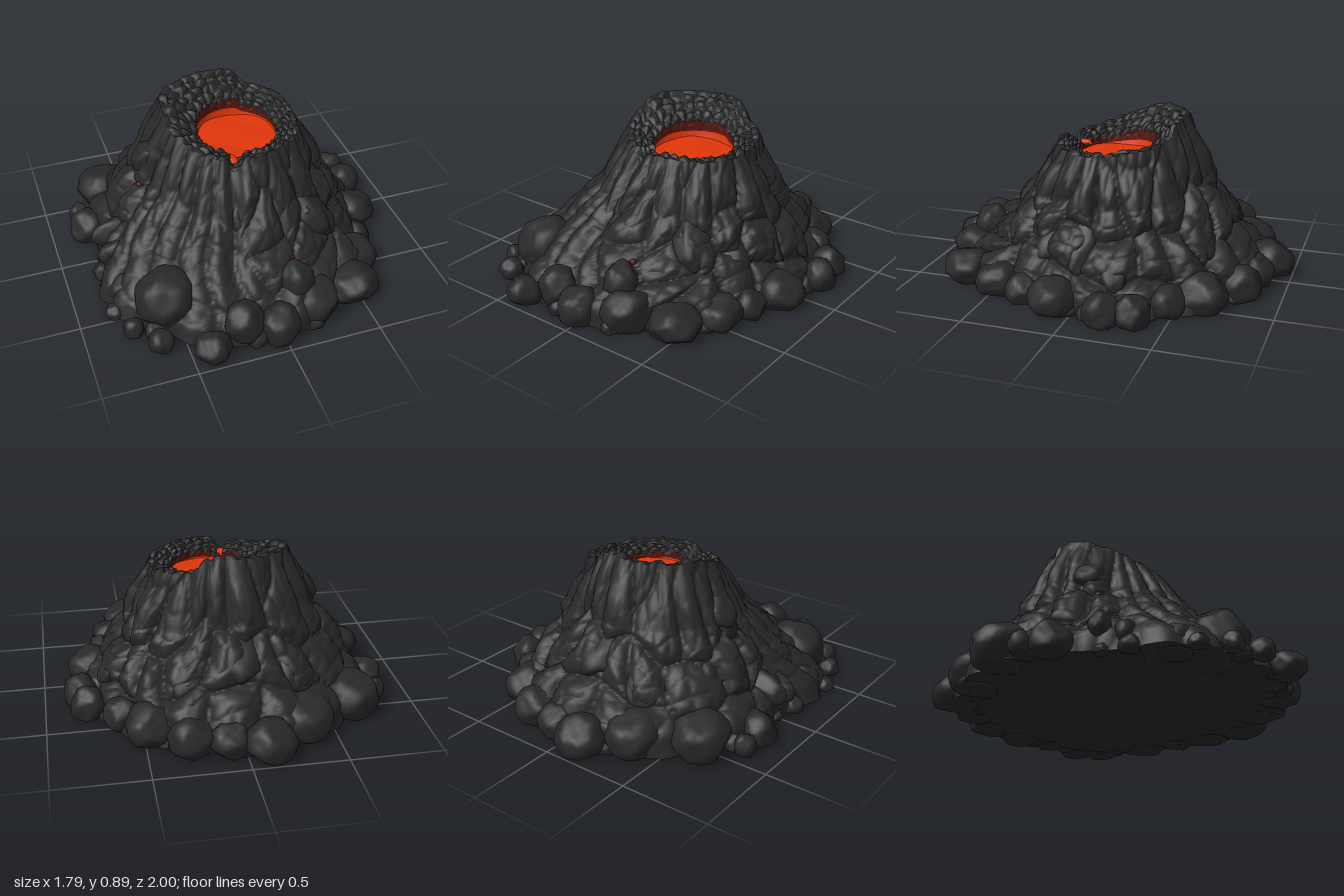
import * as THREE from 'three';
import { mergeVertices } from 'three/addons/utils/BufferGeometryUtils.js';

const TAU = Math.PI * 2, COLS = 300;
const lerp = THREE.MathUtils.lerp, clamp = THREE.MathUtils.clamp, smooth = THREE.MathUtils.smoothstep;
const hash = (a, b) => { const s = Math.sin(a * 127.1 + b * 311.7) * 43758.5453; return s - Math.floor(s); };

// Smooth closed interpolation of knots spread evenly around the circle (+x towards +z)
function around(knots, angle) {
  const n = knots.length, p = (((angle / TAU) % 1 + 1) % 1) * n, i = Math.floor(p), f = p - i;
  return lerp(knots[i % n], knots[(i + 1) % n], f * f * (3 - 2 * f));
}

// Cellular stone pattern, periodic in u: height of a domed stone with cracks between
function stones(u, v, n, seed) {
  let f1 = 9, f2 = 9, id = 0;
  const iu = Math.floor(u), iv = Math.floor(v);
  for (let a = -1; a <= 1; a++) for (let b = -1; b <= 1; b++) {
    const cu = iu + a, cv = iv + b, k = ((cu % n) + n) % n;
    const d = Math.hypot(cu + 0.15 + 0.7 * hash(k + seed, cv) - u, cv + 0.15 + 0.7 * hash(k, cv + seed + 7) - v);
    if (d < f1) { f2 = f1; f1 = d; id = hash(k + 3, cv + seed); } else if (d < f2) f2 = d;
  }
  return Math.sqrt(clamp((f2 - f1) * 1.7, 0, 1)) * (0.65 + 0.35 * id) + 0.3 * id;
}

const BASE = [0.74, 0.73, 0.79, 0.88, 0.91, 0.91, 0.77, 0.83, 0.85, 0.83, 0.82, 0.76];
const RIM = [0.75, 0.74, 0.745, 0.745, 0.75, 0.755, 0.755, 0.75, 0.745, 0.75, 0.77, 0.80,
  0.835, 0.875, 0.885, 0.885, 0.885, 0.89, 0.895, 0.89, 0.805, 0.79, 0.785, 0.765];
const RIM_RADIUS = [0.37, 0.37, 0.36, 0.355, 0.35, 0.36, 0.385, 0.42, 0.39, 0.355, 0.36, 0.375];
const SLOPE = [[0, 1], [0.1, 0.83], [0.23, 0.64], [0.5, 0.43], [0.78, 0.24], [0.95, 0.13], [1, 0.025]];
const CX = 0.03, CZ = -0.04, LAVA_Y = 0.672;

const notch = a => Math.exp(-(((a - 1.87) / 0.12) ** 2));
const rimHeight = a => around(RIM, a) - 0.075 * notch(a);
function slopeAt(t) {
  let i = 0;
  while (i < SLOPE.length - 2 && t > SLOPE[i + 1][0]) i++;
  const [t0, h0] = SLOPE[i], [t1, h1] = SLOPE[i + 1];
  return lerp(h0, h1, clamp((t - t0) / (t1 - t0), 0, 1));
}

// Point on the outer slope: t = 0 at the rim, 1 at the foot
function slopePoint(a, t) {
  const c = Math.cos(a), s = Math.sin(a), base = around(BASE, a), rim = around(RIM_RADIUS, a);
  const warp = a + 0.05 * Math.sin(5 * a + 6 * t);
  const big = stones(warp / TAU * 19, t * 2.8 + 0.3 * Math.sin(3 * a), 19, 11);
  const small = stones(a / TAU * 46, t * 7 + 0.4 * Math.sin(7 * a), 46, 5);
  // flowing strands at the front right shoulder
  const flow = smooth(a, 1.55, 1.95) * (1 - smooth(a, 2.85, 3.2));
  const strand = Math.sqrt(Math.abs(Math.sin(13 * a + 2.5 * t + 0.4 * Math.sin(9 * t))));
  const push = lerp(0.066 * big, 0.038 * strand + 0.02 * big, flow) * smooth(t, -0.1, 0.15) + 0.012 * small - 0.03;
  const h = rimHeight(a) * slopeAt(t);
  const up = push * 0.5 * smooth(t, 0.1, 0.4) * (1 - smooth(t, 0.9, 1));
  return [lerp(CX + rim * c, base * c, t) + push * c, h + up, lerp(CZ + rim * s, base * s, t) + push * s];
}

// Point inside the crater: k = 0 at the rim, 1 below the lava
function craterPoint(a, k) {
  const c = Math.cos(a), s = Math.sin(a), top = rimHeight(a), e = smooth(k, 0, 0.12);
  const block = stones(a / TAU * 32, k * 6.5, 32, 21) * (1 - smooth(k, 0.6, 0.8));
  const low = lerp(LAVA_Y, top, 0.42);
  const lip = k < 0.6 ? k / 0.6 : 1, wall = clamp((k - 0.6) / 0.4, 0, 1);
  const r = lerp(lerp(around(RIM_RADIUS, a), 0.235, lip), 0.205, wall) - 0.014 * block * e;
  const y = lerp(lerp(top, low, lip * (lip + 1) * 0.5), LAVA_Y - 0.03, wall) + 0.03 * (block - 0.4) * (1 - wall);
  const p = [CX + 0.02 * lip + r * c, y, CZ + 0.01 * lip + r * s];
  return k < 0.12 ? p.map((v, i) => lerp(slopePoint(a, 0)[i], v, e)) : p;
}

// Closed ring surface from a point rule, running row by row
function loft(rows, point, from = 0, to = 1) {
  const pos = [], idx = [];
  for (let i = 0; i <= rows; i++) for (let j = 0; j < COLS; j++)
    pos.push(...point(j / COLS * TAU, lerp(from, to, i / rows)));
  for (let i = 0; i < rows; i++) for (let j = 0; j < COLS; j++) {
    const a = i * COLS + j, n = i * COLS + (j + 1) % COLS;
    idx.push(a, a + COLS, n, n, a + COLS, n + COLS);
  }
  const g = new THREE.BufferGeometry();
  g.setAttribute('position', new THREE.Float32BufferAttribute(pos, 3));
  g.setIndex(idx);
  g.computeVertexNormals();
  return g;
}

// Chiselled boulder: a ball cut by seeded planes, leaning uphill, flattened at the ground
function boulder(x, y, z, sx, sy, sz, seed, leanX = 0, leanZ = 0) {
  let g = new THREE.IcosahedronGeometry(1, 5);
  g.deleteAttribute('normal');
  g.deleteAttribute('uv');
  g = mergeVertices(g, 1e-4);
  const cuts = [];
  for (let i = 0; i < 15; i++) {
    const yy = 1 - 2 * (i + 0.5) / 15, a = i * 2.4 + seed * 1.7 + hash(seed, i), r = Math.sqrt(1 - yy * yy);
    cuts.push([new THREE.Vector3(r * Math.cos(a), yy, r * Math.sin(a)), 0.8 + 0.18 * hash(i, seed)]);
  }
  const p = g.attributes.position, v = new THREE.Vector3();
  for (let i = 0; i < p.count; i++) {
    v.fromBufferAttribute(p, i).normalize();
    let r = 1.02;
    for (const [n, d] of cuts) { const k = v.dot(n); if (k > 0.3) r = Math.min(r, d / k); }
    r += 0.02 * Math.sin(9 * v.x + seed) * Math.sin(8 * v.y + 7 * v.z);
    const dy = v.y * r * sy;
    p.setXYZ(i, x + v.x * r * sx + leanX * dy, Math.max(0.012, y + dy), z + v.z * r * sz + leanZ * dy);
  }
  g.computeVertexNormals();
  return g;
}

export function createModel() {
  const model = new THREE.Group();
  const material = (name, color) => Object.assign(new THREE.MeshStandardMaterial({ color }), { name });
  const rock = material('charcoal rock', 0x282828);
  const ember = material('dark ember red', 0x5a1710);
  const lava = material('molten orange', 0xe0360a);
  const add = (name, geometry, mat, parent = model) => {
    const m = new THREE.Mesh(geometry, mat);
    m.name = name;
    parent.add(m);
  };

  // Mountain body, crater and underside
  add('mountainSlope', loft(90, slopePoint, 1, 0), rock);
  add('craterRim', loft(28, craterPoint, 0, 0.63), rock);
  add('emberWall', loft(6, craterPoint, 0.63, 0.76), ember);
  add('glowingWall', loft(6, craterPoint, 0.76, 1), lava);
  add('underside', loft(3, (a, k) => {
    const [x, y, z] = slopePoint(a, 1);
    return [x * k, lerp(0.015, y, k), z * k];
  }), rock);

  // Lava pool with slow swells, and the spill at the notch
  add('lavaPool', loft(12, (a, k) => {
    const x = 0.225 * k * Math.cos(a), z = 0.225 * k * Math.sin(a);
    return [CX + 0.02 + x, LAVA_Y + 0.006 * Math.sin(17 * x + 1) * Math.cos(19 * z), CZ + 0.01 + z];
  }, 1, 0), lava);
  add('lavaSpill', boulder(-0.053, 0.692, 0.205, 0.026, 0.022, 0.042, 4), lava);

  // Dim embers sunk into crevices: angle, t
  for (const [a, t] of [[1.38, 0.57], [3.2, 0.36]]) {
    const [x, y, z] = slopePoint(a, t);
    add('emberVent', boulder(x * 0.98, y - 0.005, z * 0.98, 0.022, 0.02, 0.026, 8), ember);
  }

  // Boulders around the foot: x, y, z, radius, height scale
  const foot = new THREE.Group();
  foot.name = 'footBoulders';
  model.add(foot);
  [
    [-0.12, 0.08, -0.87, 0.135, 0.95], [-0.63, 0.11, -0.53, 0.16, 0.9], [-0.79, 0.07, -0.25, 0.11, 1],
    [-0.81, 0.06, -0.4, 0.06, 1.2], [0.77, 0.07, -0.33, 0.1, 1.1], [0.8, 0.07, -0.18, 0.1, 1.05],
    [0.73, 0.08, 0.11, 0.13, 0.9], [0.58, 0.07, 0.47, 0.13, 0.85], [0.47, 0.08, 0.7, 0.145, 0.75],
    [0.22, 0.1, 0.77, 0.14, 0.9], [0.13, 0.19, 0.71, 0.1, 1.45], [-0.02, 0.08, 0.87, 0.115, 1.1],
    [-0.39, 0.06, 0.9, 0.1, 0.95], [-0.63, 0.05, 0.76, 0.07, 1], [-0.54, 0.15, 0.55, 0.17, 1],
    [-0.7, 0.07, 0.35, 0.11, 1], [-0.74, 0.05, 0.62, 0.06, 1], [-0.2, 0.12, 0.83, 0.11, 1.1],
    [0.27, 0.09, -0.77, 0.13, 0.9], [0.47, 0.09, -0.62, 0.14, 0.9], [-0.34, 0.1, -0.71, 0.15, 0.95],
    [0.6, 0.08, -0.47, 0.1, 1], [0.08, 0.08, -0.82, 0.11, 1], [0.65, 0.06, 0.3, 0.1, 1]
  ].forEach(([x, y, z, r, h], i) => add('footBoulder', boulder(x, y, z, r, r * h, r, i + 1), rock, foot));

  // Long ledges on the right side
  for (let i = 0; i < 3; i++)
    add('sideLedge', boulder(-0.64 + 0.02 * i, 0.18 - 0.04 * i, -0.02 + 0.12 * i, 0.18, 0.1, 0.075, 40 + i, 0.3), rock, foot);

  // Half-buried stones leaning along the slope: angle, t, width, height
  const slope = new THREE.Group();
  slope.name = 'slopeStones';
  model.add(slope);
  [
    [3.3, 0.17, 0.1, 0.1], [4.65, 0.45, 0.14, 0.13], [4.2, 0.55, 0.13, 0.13], [5.15, 0.5, 0.11, 0.14],
    [5.7, 0.45, 0.1, 0.15], [0.05, 0.45, 0.09, 0.16], [0.45, 0.5, 0.1, 0.14], [0.9, 0.4, 0.1, 0.14],
    [1.3, 0.25, 0.08, 0.12], [1.8, 0.2, 0.07, 0.1], [3.7, 0.45, 0.12, 0.12], [6.0, 0.65, 0.09, 0.12]
  ].forEach(([a, t, w, h], i) => {
    const [x, y, z] = slopePoint(a, t), c = Math.cos(a), s = Math.sin(a), lean = t < 0.3 ? -0.5 : -0.85;
    const sink = i ? 0.8 * w : 0.4 * w; // the first stone bulges out above an ember
    add('slopeStone', boulder(x - sink * c, y - 0.02, z - sink * s, w, h, w, 60 + i, lean * c, lean * s), rock, slope);
  });

  // Small rubble along the foot
  for (let i = 0; i < 20; i++) {
    const a = (i + 0.6 * hash(i, 2)) / 20 * TAU, [x, , z] = slopePoint(a, 1), r = 0.04 + 0.035 * hash(i, 9);
    add('rubble', boulder(x * 0.98, r * 0.6, z * 0.98, r, r, r, 90 + i), rock, foot);
  }
  return model;
}
